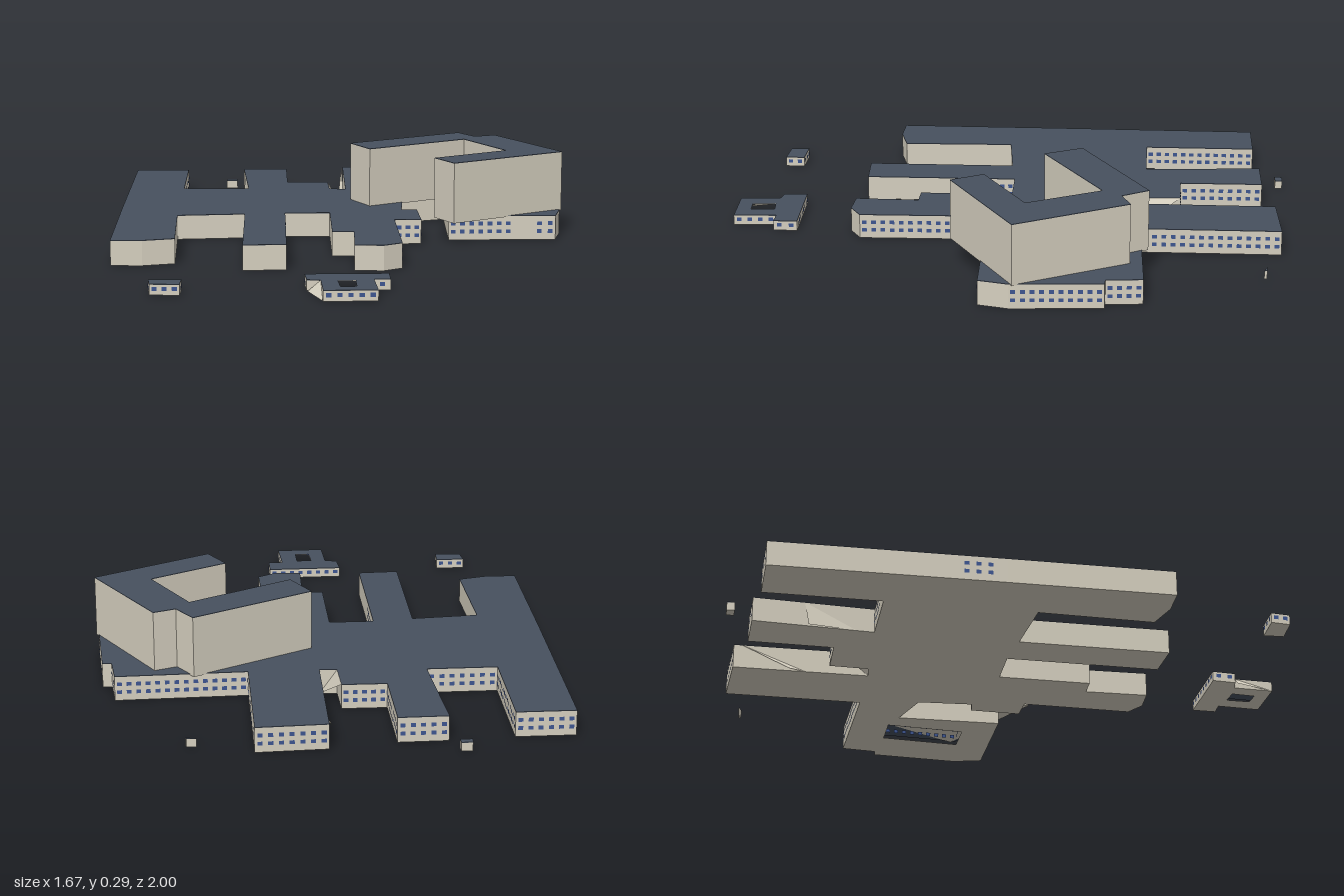
import * as THREE from 'three';
import { mergeGeometries } from 'three/addons/utils/BufferGeometryUtils.js';

const wallMat = new THREE.MeshStandardMaterial({ color: 0xd5cfbf });
const flareMat = new THREE.MeshStandardMaterial({ color: 0xd5cfbf, side: THREE.DoubleSide });
const roofMat = new THREE.MeshStandardMaterial({ color: 0x47505e });
const glassMat = new THREE.MeshStandardMaterial({ color: 0x3d5590, side: THREE.DoubleSide });

// Footprints are [x, z] corners, clockwise as seen from above
const MAIN = [
  [-0.50, -0.99], [-0.31, -0.94], [-0.41, -0.56], [-0.18, -0.50], [-0.10, -0.90],
  [0.06, -0.86], [-0.01, -0.58], [0.135, -0.54], [0.105, -0.41], [0.16, -0.39],
  [0.28, -0.84], [0.51, -0.79], [0.39, -0.33], [0.82, -0.23], [0.80, -0.11],
  [0.83, -0.10], [0.77, 0.20], [0.72, 0.29], [0.36, 0.20], [0.46, -0.15],
  [0.30, -0.14], [0.24, 0.04], [0.29, 0.06], [0.25, 0.23], [0.16, 0.21],
  [0.07, 0.58], [0.00, 0.60], [-0.09, 0.57], [-0.03, 0.36], [-0.10, 0.34],
  [-0.02, 0.03], [-0.17, -0.01], [-0.30, 0.50], [-0.44, 0.47], [-0.31, -0.03],
  [-0.54, -0.07], [-0.63, 0.31], [-0.74, 0.31], [-0.84, 0.28], [-0.70, -0.25],
];
const COURT = [[0.54, -0.16], [0.66, -0.13], [0.61, 0.14], [0.49, 0.11]];
const TOWER = [
  [0.12, -0.19], [0.57, -0.31], [0.60, -0.21], [0.68, -0.22], [0.78, 0.19],
  [0.34, 0.31], [0.31, 0.19], [0.60, 0.11], [0.54, -0.16], [0.15, -0.05],
];
const ANNEX = [
  [-0.30, 0.72], [-0.04, 0.785], [-0.06, 0.865], [-0.11, 0.85],
  [-0.14, 0.995], [-0.305, 0.955], [-0.275, 0.82], [-0.315, 0.80],
];
const ANNEX_COURT = [[-0.225, 0.84], [-0.17, 0.85], [-0.19, 0.93], [-0.24, 0.92]];
const SHED = [[-0.79, 0.66], [-0.69, 0.69], [-0.71, 0.755], [-0.80, 0.725]];
const HUT = [[-0.14, -1.0], [-0.105, -0.99], [-0.11, -0.965], [-0.15, -0.975]];
const KIOSK = [[0.67, -0.69], [0.70, -0.68], [0.70, -0.67]];

const toPoints = (pts) => pts.map(([x, z]) => new THREE.Vector2(x, -z));

function prism(name, pts, hole, y0, y1, material) {
  const shape = new THREE.Shape(toPoints(pts));
  if (hole) shape.holes.push(new THREE.Path(toPoints(hole)));
  const geo = new THREE.ExtrudeGeometry(shape, { depth: y1 - y0, bevelEnabled: false });
  geo.rotateX(-Math.PI / 2).translate(0, y0, 0);
  const mesh = new THREE.Mesh(geo, material);
  mesh.name = name;
  return mesh;
}

// Walls with a thin roof slab on top
function block(name, pts, hole, y0, y1) {
  const group = new THREE.Group();
  group.name = name;
  group.add(prism(name + 'Walls', pts, hole, y0, y1 - 0.002, wallMat));
  group.add(prism(name + 'Roof', pts, hole, y1 - 0.002, y1, roofMat));
  return group;
}

// Rows of panes along the chosen edges; each edge is [index, start, end]
function windows(name, pts, edges, rows) {
  const panes = [];
  for (const [i, from = 0, to = 1] of edges) {
    const [ax, az] = pts[i];
    const [bx, bz] = pts[(i + 1) % pts.length];
    const len = Math.hypot(bx - ax, bz - az);
    const nx = (bz - az) / len;
    const nz = -(bx - ax) / len;
    const count = Math.max(1, Math.floor((len * (to - from)) / 0.03));
    for (let k = 0; k < count; k++) {
      const t = from + ((to - from) * (k + 0.5)) / count;
      for (const y of rows) {
        const pane = new THREE.PlaneGeometry(0.016, 0.013);
        pane.rotateY(Math.atan2(nx, nz));
        pane.translate(ax + (bx - ax) * t + nx * 0.0015, y, az + (bz - az) * t + nz * 0.0015);
        panes.push(pane);
      }
    }
  }
  const mesh = new THREE.Mesh(mergeGeometries(panes), glassMat);
  mesh.name = name;
  return mesh;
}

// Leaning triangular wall piece
function flare(corners) {
  const geo = new THREE.BufferGeometry();
  geo.setAttribute('position', new THREE.Float32BufferAttribute(corners.flat(), 3));
  geo.computeVertexNormals();
  const mesh = new THREE.Mesh(geo, flareMat);
  mesh.name = 'slopingWall';
  return mesh;
}

export function createModel() {
  const model = new THREE.Group();
  model.name = 'buildingComplex';

  // Winged two-storey base and the tall block above it
  const H = 0.085;
  model.add(block('base', MAIN, COURT, 0, H));
  model.add(block('tower', TOWER, null, H - 0.004, 0.29));

  // Detached low buildings
  model.add(block('annex', ANNEX, ANNEX_COURT, 0, 0.035));
  model.add(block('shed', SHED, null, 0, 0.035));
  model.add(block('hut', HUT, null, 0, 0.03));
  model.add(block('kiosk', KIOSK, null, 0, 0.03));

  // Windows
  const glazed = [0, 1, 2, 4, 5, 6, 10, 11, 12, 13, 15, 20, 21, 22, 23, 24].map((i) => [i]);
  glazed.push([17, 0, 0.2], [17, 0.4, 1], [31, 0, 0.4], [39, 0.05, 0.2]);
  model.add(windows('baseWindows', MAIN, glazed, [0.03, 0.058]));
  model.add(windows('courtyardWindows', [...COURT].reverse(), [[0], [1], [2], [3]], [0.03, 0.058]));
  model.add(windows('annexWindows', ANNEX, [[0], [1], [2], [3], [4], [7]], [0.02]));
  model.add(windows('shedWindows', SHED, [[0], [1], [2], [3]], [0.02]));

  // Sloping wall pieces beside the wings
  model.add(
    flare([[-0.134, H, -0.73], [-0.15, 0, -0.72], [-0.175, 0, -0.50]]),
    flare([[0.135, H, -0.54], [0.105, H, -0.41], [0.16, 0, -0.39]]),
    flare([[0.27, H, -0.82], [0.21, 0, -0.66], [0.215, 0, -0.60]]),
    flare([[-0.275, 0.035, 0.82], [-0.315, 0, 0.81], [-0.305, 0, 0.95]]),
  );
  return model;
}
